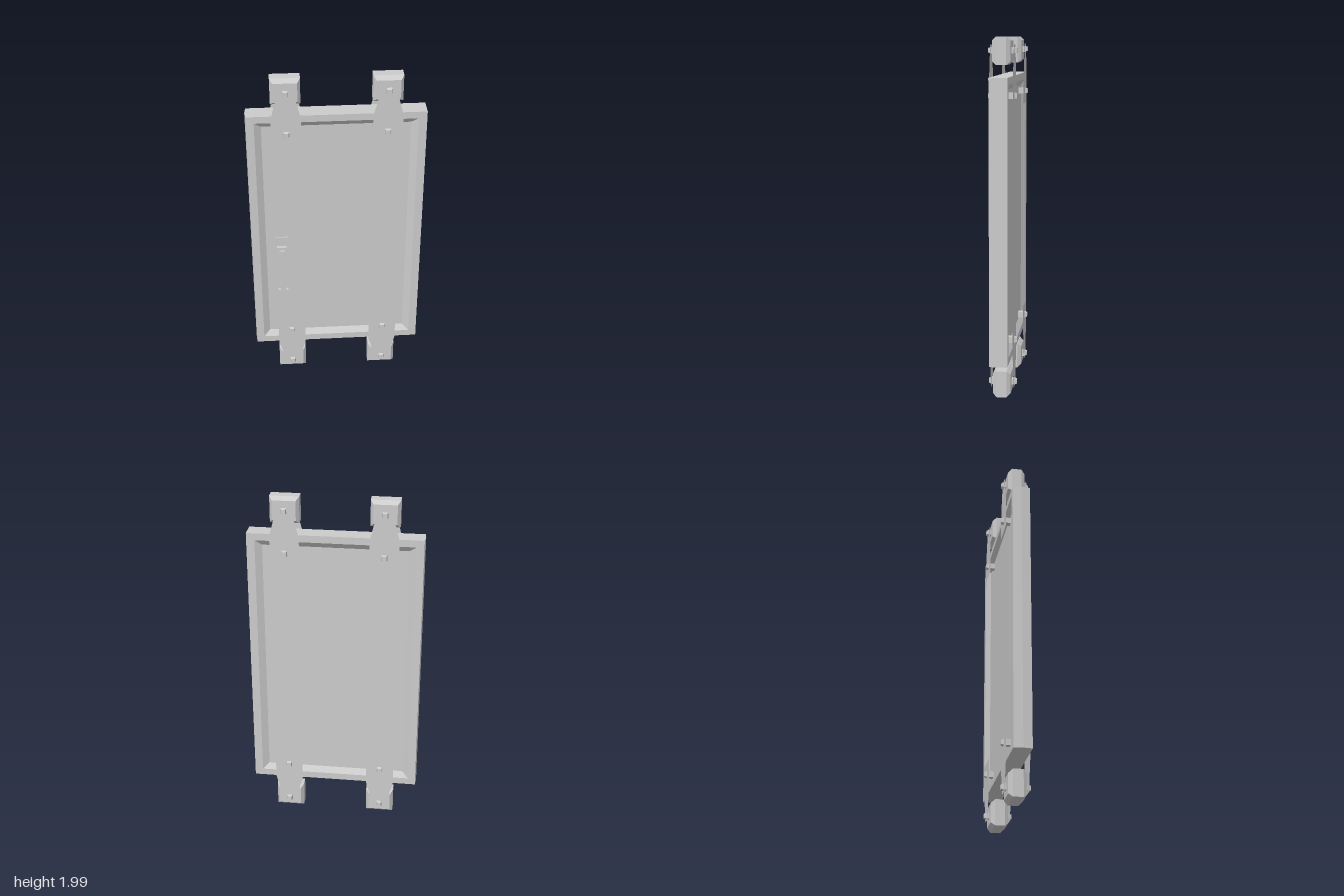
import * as THREE from 'three';

const material = new THREE.MeshStandardMaterial({ color: 0xcccccc, flatShading: true });
const thin = new THREE.MeshStandardMaterial({ color: 0xcccccc, side: THREE.DoubleSide });

// Lofts rectangular rings [x0, x1, y0, y1, z], ordered from back to front, with capped ends.
function loft(rings) {
  const pos = [];
  const loops = rings.map(([x0, x1, y0, y1, z]) => [[x0, y0, z], [x1, y0, z], [x1, y1, z], [x0, y1, z]]);
  const quad = (a, b, c, d) => pos.push(...a, ...b, ...c, ...a, ...c, ...d);
  for (let r = 0; r < loops.length - 1; r++) {
    const a = loops[r], b = loops[r + 1];
    for (let i = 0; i < 4; i++) quad(a[i], a[(i + 1) % 4], b[(i + 1) % 4], b[i]);
  }
  const [p, q, s, t] = loops[0];
  quad(t, s, q, p);
  quad(...loops[loops.length - 1]);
  const geometry = new THREE.BufferGeometry();
  geometry.setAttribute('position', new THREE.Float32BufferAttribute(pos, 3));
  geometry.computeVertexNormals();
  return geometry;
}

// Ring centred on the origin with half width w and half height h.
const ring = (w, h, z) => [-w, w, -h, h, z];

export function createModel() {
  const group = new THREE.Group();
  const add = (name, geometry, x = 0, y = 0, z = 0, mat = material, parent = group) => {
    const mesh = new THREE.Mesh(geometry, mat);
    mesh.name = name;
    mesh.position.set(x, y, z);
    parent.add(mesh);
    return mesh;
  };

  // Door slab: bevelled recess on both faces, slightly bowed left-hand edge
  const outer = (left, z) => [left, 0.488, -0.783, 0.783, z];
  add('doorPanel', loft([
    ring(0.405, 0.71, -0.025),
    ring(0.442, 0.743, -0.05),
    outer(-0.485, -0.05),
    outer(-0.49, 0),
    outer(-0.485, 0.05),
    ring(0.442, 0.743, 0.05),
    ring(0.405, 0.71, 0.025),
  ]), 0, 1.005);

  // Hanger parts, shared by all four corners
  const rollerGeometry = loft([
    ring(0.065, 0.055, -0.05),
    ring(0.081, 0.075, -0.028),
    ring(0.081, 0.075, 0.028),
    ring(0.065, 0.055, 0.05),
  ]);
  const boltGeometry = loft([
    ring(0.012, 0.012, -0.079),
    ring(0.017, 0.017, -0.062),
    ring(0.017, 0.017, 0.062),
    ring(0.012, 0.012, 0.079),
  ]);
  const strapGeometry = (s) => new THREE.ShapeGeometry(new THREE.Shape([
    [-0.081, -0.315], [0.081, -0.315], [0.081, -0.15], [0.035, 0.03], [-0.035, 0.03], [-0.081, -0.15],
  ].map(([x, y]) => new THREE.Vector2(x, y * s))));

  for (const x of [-0.271, 0.276]) {
    for (const s of [1, -1]) {
      const hanger = new THREE.Group();
      hanger.name = `${s > 0 ? 'upper' : 'lower'}${x > 0 ? 'Left' : 'Right'}Hanger`;
      hanger.position.set(x, 1.003 + s * 0.925, 0);
      group.add(hanger);
      add('roller', rollerGeometry, 0, -s * 0.003, 0, material, hanger);
      add('frontStrap', strapGeometry(s), 0, 0, 0.064, thin, hanger);
      add('backStrap', strapGeometry(s), 0, 0, -0.064, thin, hanger);
      add('axleBolt', boltGeometry, 0, 0, 0, material, hanger);
      add('strapBolt', boltGeometry, 0, -s * 0.244, 0, material, hanger);
    }
  }

  // Pull handle on the front face
  const handle = new THREE.Group();
  handle.name = 'handle';
  handle.position.set(-0.315, 0.737, 0);
  group.add(handle);
  add('handlePlate', new THREE.BoxGeometry(0.074, 0.498, 0.012), 0, 0, 0.025, material, handle);
  for (const s of [1, -1]) {
    add('handleMount', new THREE.BoxGeometry(0.06, 0.068, 0.022), 0, s * 0.154, 0.038, material, handle);
  }
  add('handleBar', new THREE.BoxGeometry(0.03, 0.342, 0.018), 0, 0, 0.054, material, handle);

  return group;
}
